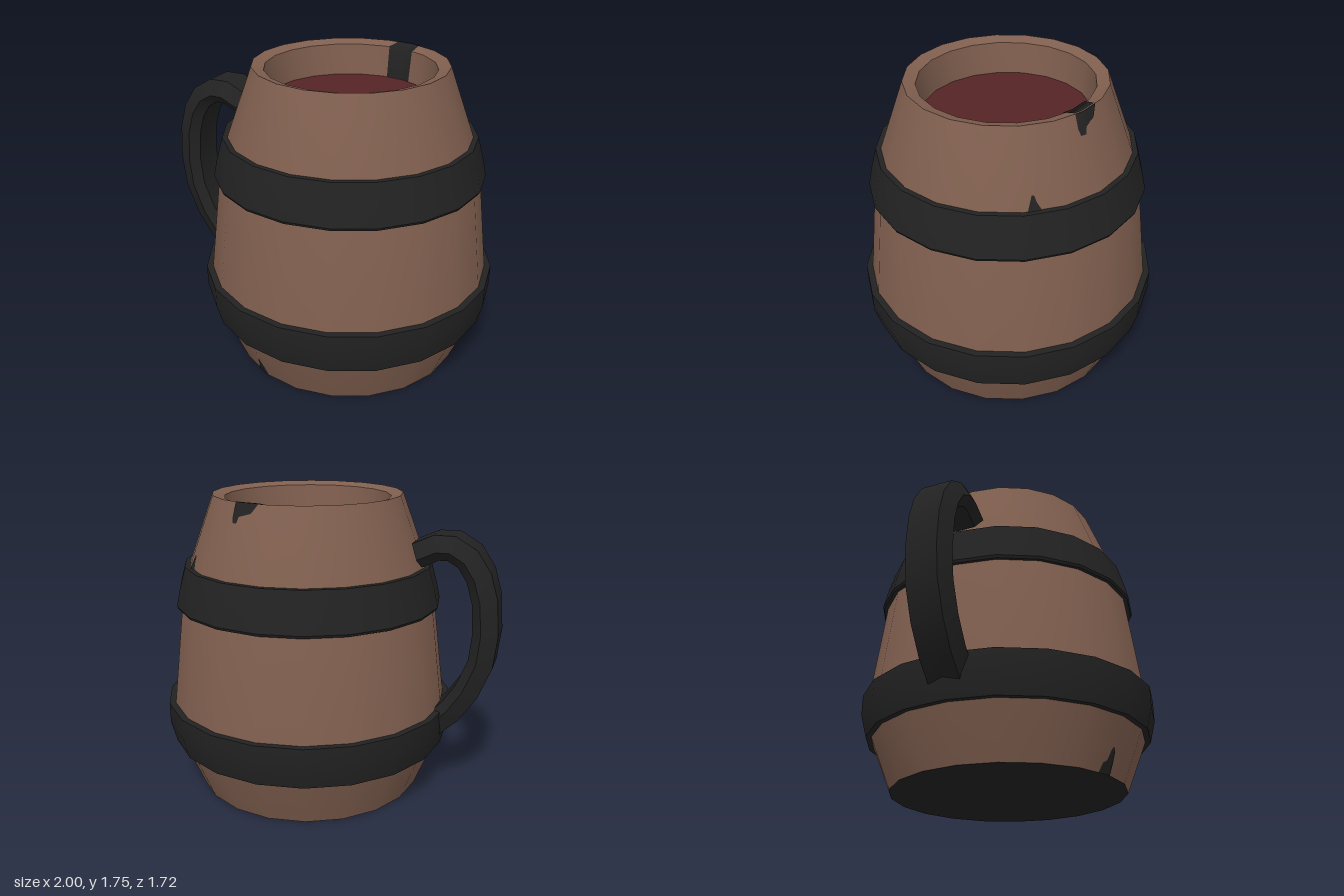
import * as THREE from 'three';
import { toCreasedNormals } from 'three/addons/utils/BufferGeometryUtils.js';

const SIDES = 20;
const CREASE = 0.6;

const wood = new THREE.MeshStandardMaterial({ name: 'wood', color: 0x805f4f });
const iron = new THREE.MeshStandardMaterial({ name: 'darkIron', color: 0x222222, side: THREE.DoubleSide });
const wine = new THREE.MeshStandardMaterial({ name: 'redDrink', color: 0x552426 });

function mesh(name, geometry, material) {
  const m = new THREE.Mesh(geometry, material);
  m.name = name;
  return m;
}

// Faceted ring from [radius, y] pairs, outside running upwards
function turned(profile) {
  const points = profile.map(([r, y]) => new THREE.Vector2(r, y));
  return toCreasedNormals(new THREE.LatheGeometry(points, SIDES), CREASE);
}

// Indexed grid of points: rows of equal length
function grid(rows) {
  const n = rows[0].length;
  const index = [];
  for (let i = 0; i < rows.length - 1; i++) {
    for (let j = 0; j < n - 1; j++) {
      const a = i * n + j;
      index.push(a, a + 1, a + n, a + 1, a + n + 1, a + n);
    }
  }
  const g = new THREE.BufferGeometry();
  g.setAttribute('position', new THREE.Float32BufferAttribute(rows.flat(2), 3));
  g.setIndex(index);
  g.computeVertexNormals();
  return g;
}

// Thin stain following the faceted wall; rows are [radius, y, startDegrees, endDegrees]
function stain(rows, offset, lift = 0) {
  const step = 360 / SIDES;
  const rad = Math.PI / 180;
  return grid(rows.map(([r, y, a0, a1]) => {
    const row = [];
    for (let k = 0; k <= 12; k++) {
      const a = a0 + (a1 - a0) * k / 12;
      const local = ((a % step) + step) % step - step / 2;
      const R = r * Math.cos(step / 2 * rad) / Math.cos(local * rad) + offset;
      row.push([R * Math.sin(a * rad), y + lift, R * Math.cos(a * rad)]);
    }
    return row;
  }));
}

// Six-sided bar swept along its outer edge, with capped ends
function handleGeometry() {
  const outer = [
    [-0.50, 1.505], [-0.62, 1.56], [-0.74, 1.56], [-0.86, 1.49], [-0.94, 1.37], [-0.985, 1.22],
    [-1.0, 1.02], [-0.98, 0.83], [-0.905, 0.64], [-0.805, 0.49], [-0.67, 0.36],
  ].map(([x, y]) => new THREE.Vector2(x, y));
  // [depth inward, z]
  const section = [[0, -0.09], [0, 0.09], [0.09, 0.135], [0.142, 0.09], [0.142, -0.09], [0.09, -0.135]];
  const positions = [];
  const index = [];
  outer.forEach((p, i) => {
    const a = outer[Math.max(i - 1, 0)];
    const b = outer[Math.min(i + 1, outer.length - 1)];
    const t = b.clone().sub(a).normalize();
    for (const [d, z] of section) positions.push(p.x - t.y * d, p.y + t.x * d, z);
  });
  const n = section.length;
  for (let i = 0; i < outer.length - 1; i++) {
    for (let j = 0; j < n; j++) {
      const a = i * n + j;
      const b = i * n + (j + 1) % n;
      index.push(a, a + n, b, b, a + n, b + n);
    }
  }
  const last = (outer.length - 1) * n;
  for (let j = 1; j < n - 1; j++) {
    index.push(0, j, j + 1, last, last + j + 1, last + j);
  }
  const g = new THREE.BufferGeometry();
  g.setAttribute('position', new THREE.Float32BufferAttribute(positions, 3));
  g.setIndex(index);
  return toCreasedNormals(g, CREASE);
}

export function createModel() {
  const model = new THREE.Group();
  model.name = 'barrelTankard';

  const barrel = new THREE.Group();
  barrel.name = 'barrel';
  barrel.position.x = 0.14;
  model.add(barrel);

  // Staved wall, rim and inner lip
  barrel.add(mesh('barrelWall', turned([
    [0.68, 0], [0.80, 0.30], [0.838, 0.42], [0.825, 0.54], [0.752, 1.12], [0.695, 1.355],
    [0.548, 1.75], [0.48, 1.73], [0.46, 1.54],
  ]), wood));

  // Flat underside
  barrel.add(mesh('base', new THREE.CircleGeometry(0.68, SIDES).rotateX(Math.PI / 2), iron));

  // Drink surface
  barrel.add(mesh('drink', new THREE.CircleGeometry(0.462, SIDES).rotateX(-Math.PI / 2).translate(0, 1.55, 0), wine));

  // Iron hoops
  barrel.add(mesh('lowerHoop', turned([
    [0.78, 0.295], [0.83, 0.295], [0.862, 0.42], [0.862, 0.54], [0.80, 0.54],
  ]), iron));
  barrel.add(mesh('upperHoop', turned([
    [0.74, 1.12], [0.775, 1.115], [0.782, 1.13], [0.762, 1.22], [0.724, 1.355], [0.68, 1.355],
  ]), iron));

  // Dark stains on the wood
  barrel.add(mesh('baseStain', stain([
    [0.68, 0, -24.3, -16.7], [0.70, 0.05, -23, -16.9], [0.706, 0.065, -21, -17],
    [0.726, 0.115, -20, -17.6], [0.732, 0.135, -19.2, -18.3],
  ], 0.004), iron));
  barrel.add(mesh('innerRimStain', stain([
    [0.46, 1.55, 156, 176], [0.48, 1.73, 156, 176], [0.548, 1.75, 157, 173],
  ], -0.004, 0.003), iron));
  barrel.add(mesh('outerRimStain', stain([
    [0.548, 1.753, 157, 173], [0.567, 1.70, 157, 169], [0.574, 1.68, 157, 162], [0.587, 1.645, 158, 161],
  ], 0.004), iron));
  barrel.add(mesh('hoopStain', stain([
    [0.695, 1.355, 128, 134], [0.68, 1.395, 129, 132], [0.667, 1.43, 130, 131],
  ], 0.004), iron));

  // Curved side handle
  model.add(mesh('handle', handleGeometry(), iron));
  return model;
}
